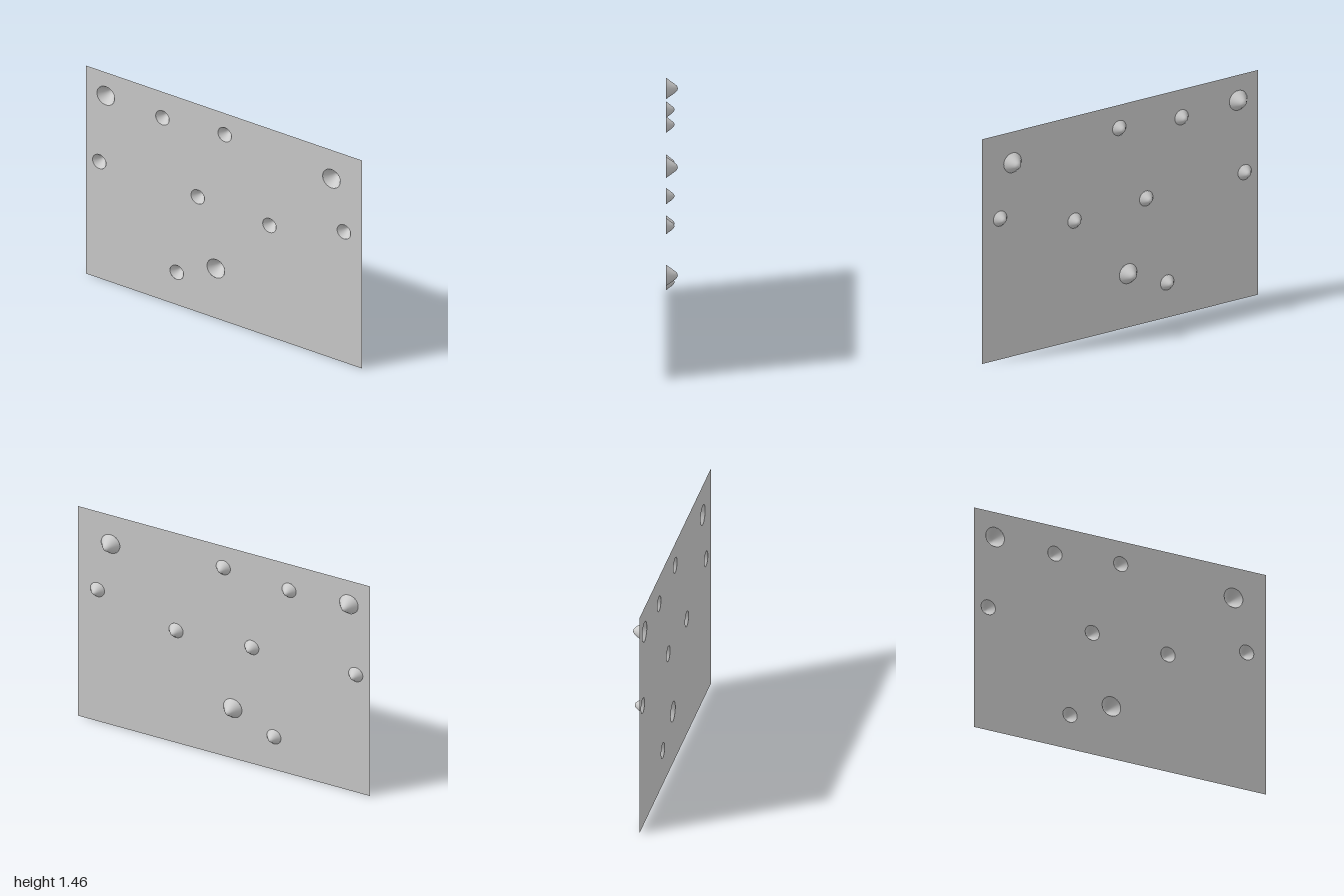
import * as THREE from 'three';

const WIDTH = 2, HEIGHT = 1.455, FRONT_Z = 0.035, SIDES = 32;
const LARGE = { radius: 0.064, depth: 0.07 };
const SMALL = { radius: 0.049, depth: 0.05 };

// Centres of the dimples on the panel (x, y)
const largeDimples = [[-0.856, 1.291], [0.778, 1.254], [-0.059, 0.347]];
const smallDimples = [
  [-0.446, 1.273], [0.005, 1.305], [-0.903, 0.815], [-0.19, 0.805],
  [0.329, 0.778], [0.868, 0.912], [-0.342, 0.227],
];

// Rounded cone, opening at the front and pointing backwards
function dimpleGeometry({ radius, depth }) {
  const profile = new THREE.SplineCurve(
    [[1, 0], [0.76, 0.3], [0.5, 0.64], [0.25, 0.91], [0, 1]]
      .map(([r, d]) => new THREE.Vector2(r * radius, d * depth)));
  const points = profile.getPoints(12);
  points[points.length - 1].x = 0;
  return new THREE.LatheGeometry(points, SIDES).rotateX(-Math.PI / 2);
}

export function createModel() {
  const group = new THREE.Group();
  group.name = 'dimpledPanel';
  const material = new THREE.MeshStandardMaterial({ color: 0xcccccc, side: THREE.DoubleSide });

  // Flat sheet, with one round hole for each dimple
  const sheet = new THREE.Shape();
  sheet.moveTo(-WIDTH / 2, 0);
  sheet.lineTo(WIDTH / 2, 0);
  sheet.lineTo(WIDTH / 2, HEIGHT);
  sheet.lineTo(-WIDTH / 2, HEIGHT);
  sheet.closePath();

  const addDimples = (name, centres, size) => {
    const geometry = dimpleGeometry(size);
    for (const [x, y] of centres) {
      const hole = new THREE.Path();
      hole.absarc(x, y, size.radius, 0, Math.PI * 2, true);
      sheet.holes.push(hole);
      const dimple = new THREE.Mesh(geometry, material);
      dimple.name = name;
      dimple.position.set(x, y, FRONT_Z);
      group.add(dimple);
    }
  };
  addDimples('largeDimple', largeDimples, LARGE);
  addDimples('smallDimple', smallDimples, SMALL);

  const panel = new THREE.Mesh(new THREE.ShapeGeometry(sheet, SIDES), material);
  panel.name = 'panel';
  panel.position.z = FRONT_Z;
  group.add(panel);
  return group;
}
